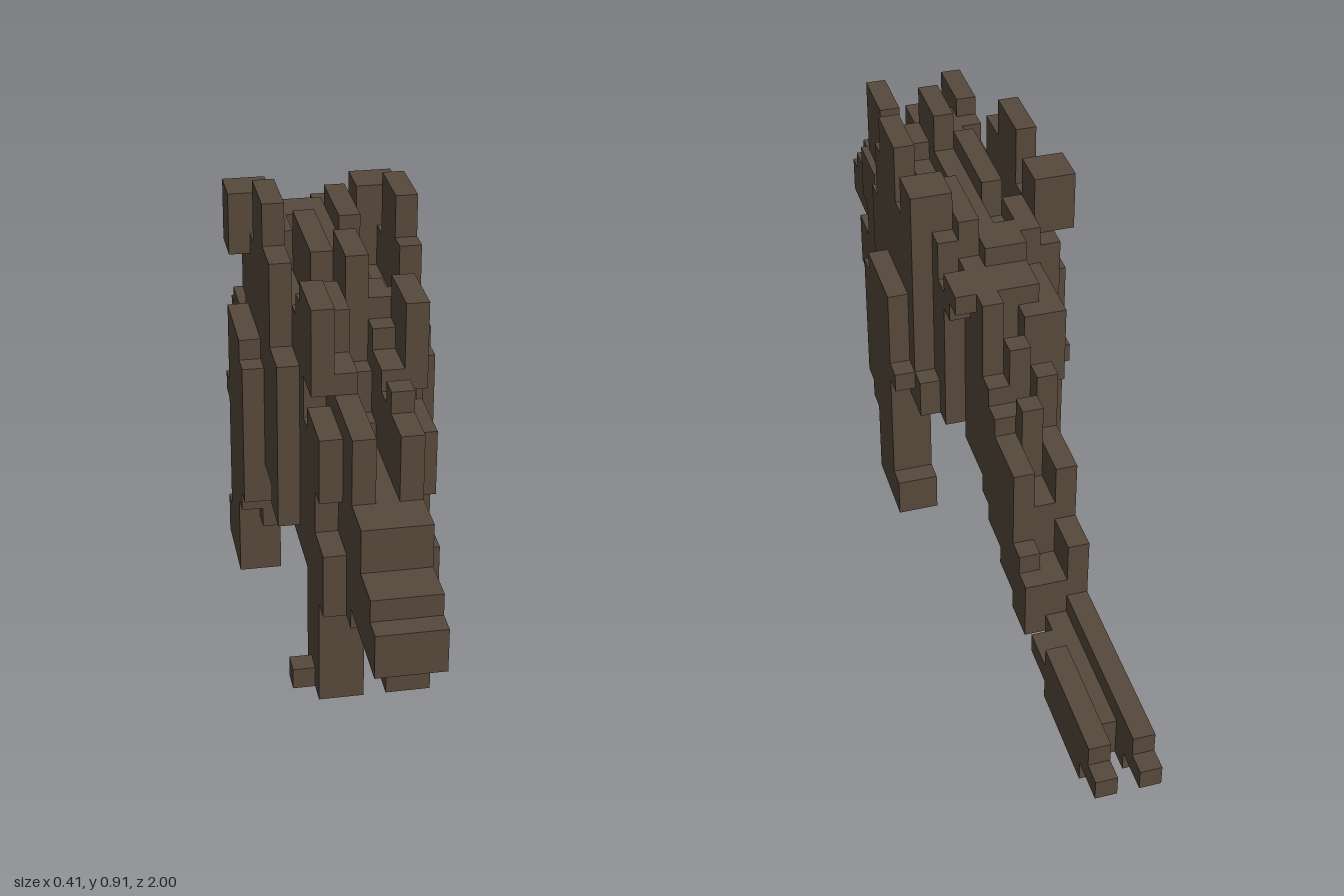
import * as THREE from 'three';

const U = 1 / 22; // one block

export function createModel() {
  const model = new THREE.Group();
  const brown = new THREE.MeshStandardMaterial({ color: 0x56483b });
  brown.name = 'darkBrown';

  // Each box is [x0, x1, y0, y1, z0, z1] in blocks
  function part(name, boxes, mirrored = false) {
    const group = new THREE.Group();
    group.name = name;
    const add = (x0, x1, y0, y1, z0, z1) => {
      const mesh = new THREE.Mesh(new THREE.BoxGeometry((x1 - x0) * U, (y1 - y0) * U, (z1 - z0) * U), brown);
      mesh.name = name + 'Block';
      mesh.position.set((x0 + x1) / 2 * U, (y0 + y1) / 2 * U, (z0 + z1) / 2 * U);
      group.add(mesh);
    };
    for (const [x0, x1, y0, y1, z0, z1] of boxes) {
      add(x0, x1, y0, y1, z0, z1);
      if (mirrored) add(-x1, -x0, y0, y1, z0, z1);
    }
    model.add(group);
  }

  // Stepped snout and head
  part('head', [
    [-1.5, 1.5, 6, 8, 16, 22],
    [-1.5, 1.5, 6, 9, 16, 21],
    [-1.5, 1.5, 6, 11, 16, 19],
  ]);

  // Neck with a ridge on either side of a deep groove
  part('neck', [[-1.5, 1.5, 5, 11, 11, 17]]);
  part('neckRidge', [[0.5, 1.5, 11, 14, 11, 17]], true);
  part('neckSpike', [[0.5, 1.5, 14, 15, 14, 15]]);

  // Torso, widest over the hips
  part('torso', [
    [-2.5, 2.5, 5, 12, 11, 12],
    [-2.5, 2.5, 5, 14, 7, 11],
    [-2.5, 2.5, 6, 15, 2, 8],
    [-2.5, 2.5, 7, 15, -2, 2],
    [-1.5, 1.5, 6, 14, -4, -2],
    [-1.5, 1.5, 14, 16, -4, 8],
    [-0.5, 0.5, 16, 17, -2, 7],
    [-3.5, -2.5, 6, 14, 8, 10],
  ]);
  part('flank', [
    [2.5, 3.5, 7, 15, 6, 8],
    [2.5, 3.5, 7, 17, 0, 6],
    [2.5, 3.5, 7, 9, -1, 0],
    [1.5, 2.5, 15, 17, -1, 2],
  ], true);

  // Paired plates along the back, stepping down towards the hips
  part('shoulderPlate', [
    [1.5, 2.5, 14, 18, 10, 13],
    [1.5, 2.5, 14, 17, 9, 10],
    [1.5, 2.5, 14, 16, 8, 9],
  ], true);
  part('tallPlate', [[2.5, 3.5, 17, 20, 3, 6]], true);
  part('hipPlate', [[2.5, 3.5, 17, 19, 0, 2]], true);

  // Back plates in staggered rows
  part('backPlates', [
    [-1.5, -0.5, 14, 15, 11, 13],
    [-1.5, -0.5, 14, 17, 8, 11],
    [0.5, 1.5, 14, 15, 11, 13],
    [0.5, 1.5, 14, 16, 10, 11],
    [0.5, 1.5, 14, 17, 8, 10],
    [-0.5, 0.5, 11, 19, 7, 10],
    [-3.5, -2.5, 14, 18, 6, 8],
    [2.5, 3.5, 14, 18, 6, 7],
    [-1.5, -0.5, 15, 18, 2, 7],
    [0.5, 1.5, 15, 18, -1, 3],
    [-4.5, -3.5, 16, 19, 0, 2],
    [-3.5, -2.5, 13, 16, -1, 0],
    [1.5, 2.5, 15, 19, 0, 2],
    [-1.5, -0.5, 14, 17, -2, 0],
    [-2.5, -1.5, 11, 15, -5, -2],
    [1.5, 2.5, 14, 16, -3, -2],
    [1.5, 2.5, 15, 16, -4, -3],
  ]);

  // Front legs with shoulders
  part('frontLeg', [
    [1.5, 2.5, 5, 13, 12, 14],
    [1.5, 2.5, 10, 13, 14, 15],
    [1.5, 2.5, 5, 8, 14, 16],
    [0.5, 2.5, 0, 5, 12, 14],
    [0.5, 2.5, 0, 2, 14, 15],
    [0.5, 1.5, 2, 3, 14, 15],
    [0.5, 2.5, 3, 5, 14, 15],
  ], true);
  part('rightFrontShin', [[-2.5, -1.5, 2, 3, 14, 15]]);
  part('frontToe', [[-3.5, -2.5, 0, 1, 13, 14]]);

  // Hind legs with broad thighs
  part('hindLeg', [
    [2.5, 4.5, 0, 8, 1, 4],
    [2.5, 4.5, 0, 2, 0, 4],
    [2.5, 3.5, 3, 8, 4, 5],
    [3.5, 4.5, 4, 8, 4, 5],
    [3.5, 4.5, 7, 13, 1, 5],
    [2.5, 4.5, 5, 12, 5, 6],
    [3.5, 4.5, 8, 9, 0, 1],
  ], true);

  // Tail stepping down to a low forked end
  part('tail', [
    [-1.5, 1.5, 6, 13, -5, -2],
    [-1.5, -0.5, 13, 15, -5, -2],
    [0.5, 1.5, 13, 16, -5, -2],
    [-1.5, 1.5, 5, 12, -6, -5],
    [-0.5, 0.5, 12, 14, -6, -5],
    [-1.5, 1.5, 4, 11, -7, -6],
    [-1.5, -0.5, 11, 13, -7, -6],
    [-1.5, 1.5, 4, 10, -8, -7],
    [-0.5, 0.5, 10, 12, -8, -7],
    [-1.5, 1.5, 3, 8, -10, -8],
    [-1.5, -0.5, 8, 10, -10, -8],
    [0.5, 1.5, 8, 10, -10, -8],
    [-1.5, 1.5, 2, 5, -12, -10],
    [-1.5, -0.5, 5, 7, -12, -10],
    [0.5, 1.5, 5, 6, -11, -10],
    [-0.5, 0.5, 1, 3, -19, -12],
    [-0.5, 0.5, 0, 1, -18, -17],
  ]);
  part('tailFork', [
    [0.5, 1.5, 1, 4, -20, -15],
    [0.5, 1.5, 2, 3, -15, -13],
    [0.5, 1.5, 2, 4, -21, -20],
    [0.5, 1.5, 2, 3, -22, -21],
  ], true);
  part('tailForkBase', [[-1.5, -0.5, 1, 4, -15, -12]]);

  return model;
}
